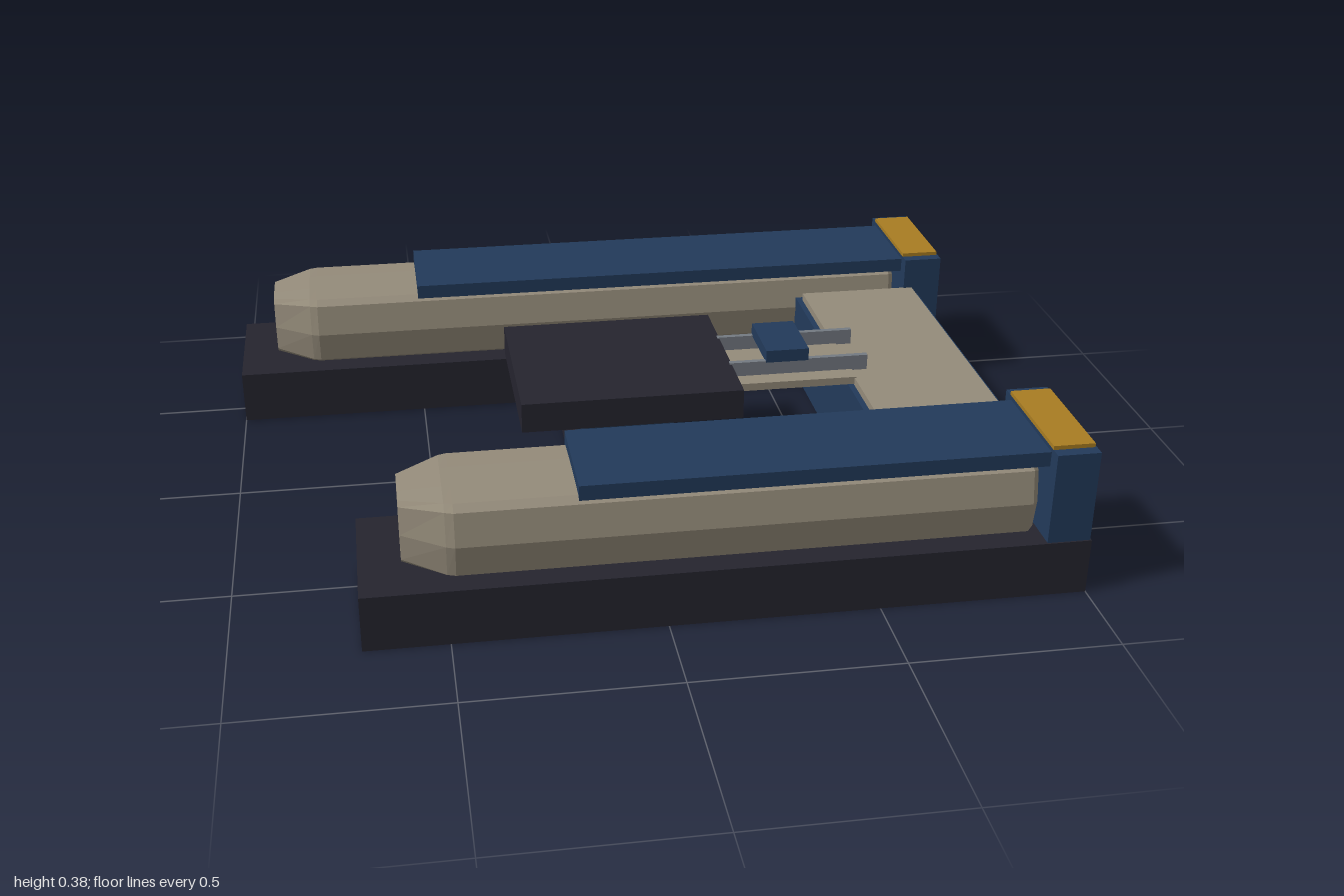
import * as THREE from 'three';

const mat = (name, color) => {
  const m = new THREE.MeshStandardMaterial({ color });
  m.name = name;
  return m;
};

// Half of the hull's cross-section, as [z, y] from its centre
const QUARTER = [[0.157, 0], [0.142, 0.08], [0.12, 0.093], [0.045, 0.097]];

function hullSection() {
  const right = [...QUARTER.slice(1).reverse().map(([z, y]) => [z, -y]), ...QUARTER];
  return [...right, ...right.map(([z, y]) => [-z, -y])];
}

// Long hull along x: tapered nose at -x, slight taper at the stern
function hullGeometry(noseX, sternX) {
  const section = hullSection();
  const n = section.length;
  const stations = [
    [noseX, 0.52, 0.85], [noseX + 0.1, 0.95, 1],
    [noseX + 0.12, 1, 1], [sternX - 0.015, 1, 1], [sternX, 0.9, 0.92],
  ];
  const rings = stations.map(([x, sz, sy]) => section.map(([z, y]) => [x, y * sy, z * sz]));
  const pos = [];
  const tri = (a, b, c) => pos.push(...a, ...b, ...c);
  for (let s = 0; s < rings.length - 1; s++) {
    for (let i = 0; i < n; i++) {
      const j = (i + 1) % n;
      const [a, b, c, d] = [rings[s][i], rings[s + 1][i], rings[s + 1][j], rings[s][j]];
      tri(a, b, c);
      tri(a, c, d);
    }
  }
  const first = rings[0], last = rings[rings.length - 1];
  for (let i = 1; i < n - 1; i++) {
    tri(first[0], first[i], first[i + 1]);
    tri(last[0], last[i + 1], last[i]);
  }
  const g = new THREE.BufferGeometry();
  g.setAttribute('position', new THREE.Float32BufferAttribute(pos, 3));
  g.computeVertexNormals();
  return g;
}

export function createModel() {
  const model = new THREE.Group();
  model.name = 'twinHullPlatform';
  const beige = mat('hullBeige', 0x948b7a);
  const navy = mat('navyBlue', 0x223a5a);
  const dark = mat('charcoal', 0x25242e);
  const gold = mat('gold', 0xa87c22);
  const grey = mat('railGrey', 0x747a82);

  // Box given by its limits on each axis
  const box = (parent, name, material, [x0, x1], [y0, y1], [z0, z1]) => {
    const m = new THREE.Mesh(new THREE.BoxGeometry(x1 - x0, y1 - y0, z1 - z0), material);
    m.position.set((x0 + x1) / 2, (y0 + y1) / 2, (z0 + z1) / 2);
    m.name = name;
    parent.add(m);
  };

  // Two side pods: base, hull, roof plate and end tower
  const pod = (name, z, startX) => {
    const g = new THREE.Group();
    g.name = name;
    g.position.z = z;
    box(g, 'base', dark, [startX, 1], [0, 0.14], [-0.178, 0.178]);
    const hull = new THREE.Mesh(hullGeometry(startX + 0.1, 0.87), beige);
    hull.name = 'hull';
    hull.position.y = 0.237;
    g.add(hull);
    box(g, 'roofPlate', navy, [startX + 0.5, 0.9], [0.323, 0.36], [-0.136, 0.136]);
    box(g, 'endTower', navy, [0.893, 0.997], [0.14, 0.37], [-0.174, 0.174]);
    box(g, 'towerCap', gold, [0.893, 0.993], [0.37, 0.38], [-0.145, 0.145]);
    model.add(g);
  };
  pod('backPod', -0.601, -1);
  pod('frontPod', 0.598, -0.7);

  // Bridge joining the pods by the towers
  box(model, 'bridge', navy, [0.58, 0.935], [0.04, 0.265], [-0.45, 0.45]);
  box(model, 'bridgeDeck', beige, [0.595, 0.917], [0.265, 0.285], [-0.43, 0.43]);

  // Crossbeam carrying the central platform
  box(model, 'crossbeam', dark, [-0.13, 0.13], [0.01, 0.11], [-0.43, 0.43]);
  box(model, 'pedestal', navy, [-0.11, 0.11], [0.11, 0.245], [-0.2, 0.2]);
  box(model, 'platform', dark, [-0.28, 0.28], [0.245, 0.322], [-0.238, 0.238]);

  // Gangway with two rails and a carriage
  box(model, 'gangway', beige, [0.27, 0.6], [0.268, 0.288], [-0.137, 0.135]);
  for (const z of [-0.082, 0.08]) {
    box(model, 'rail', grey, [0.275, 0.64], [0.285, 0.326], [z - 0.007, z + 0.007]);
  }
  box(model, 'carriage', navy, [0.37, 0.482], [0.322, 0.355], [-0.09, 0.088]);

  return model;
}
